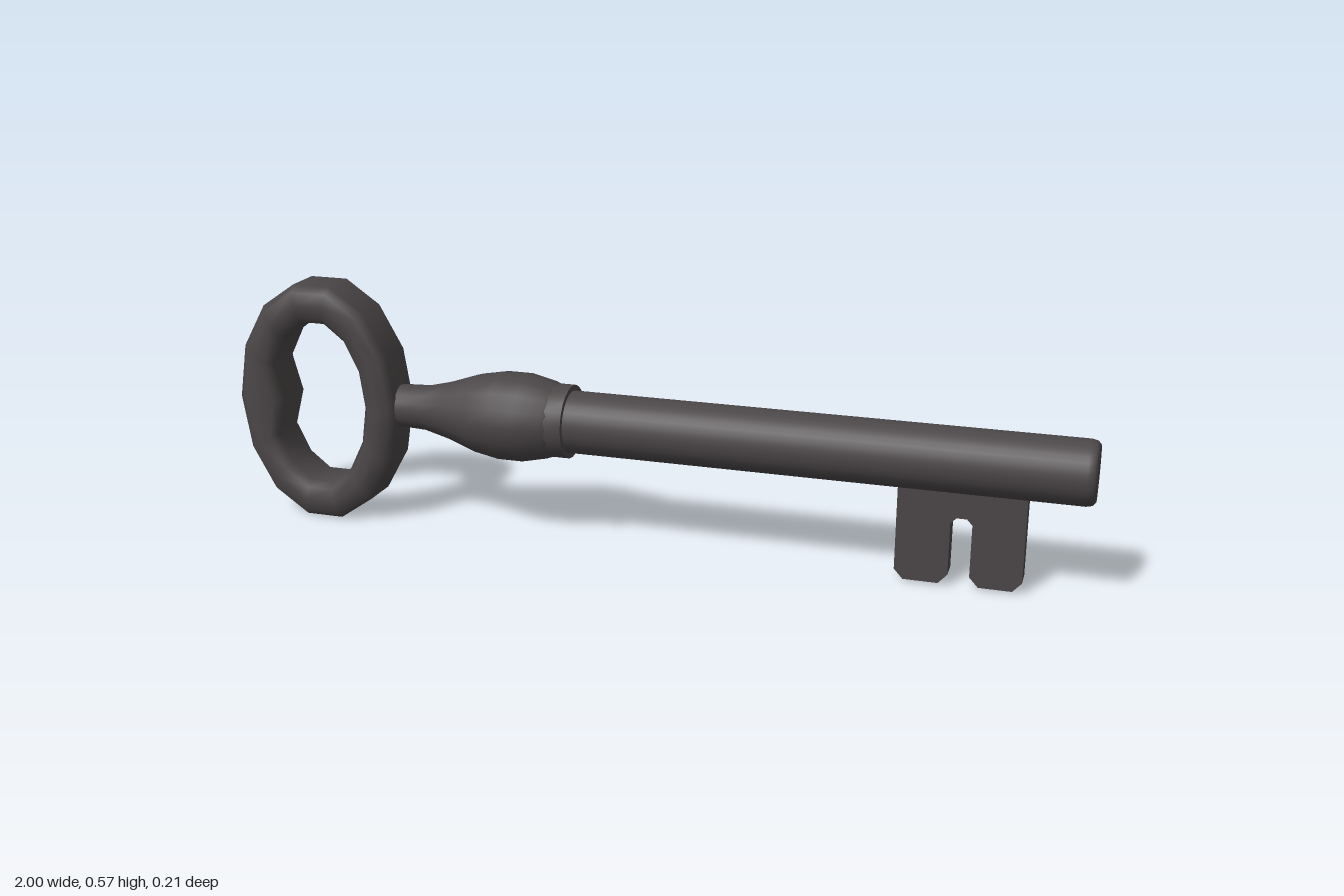
import * as THREE from 'three';
import { toCreasedNormals } from 'three/addons/utils/BufferGeometryUtils.js';

const AXIS_Y = 0.29;
const iron = new THREE.MeshStandardMaterial({ color: 0x4b4647 });

function addPart(group, name, geometry) {
  const mesh = new THREE.Mesh(geometry, iron);
  mesh.name = name;
  group.add(mesh);
  return mesh;
}

// Turned part lying along x; profile is a list of [x, radius]
function turned(profile, sides) {
  const points = profile.map(([x, r]) => new THREE.Vector2(r, x));
  return new THREE.LatheGeometry(points, sides).rotateZ(-Math.PI / 2);
}

// Oval ring with a bevelled section and a small bump inside, opposite the shaft
function bowGeometry() {
  const sides = 14;
  // [position from outer rim (0) to inner rim (1), z]
  const half = [[0, 0.045], [0.17, 0.064], [0.5, 0.069], [0.83, 0.064], [1, 0.045]];
  const section = [...half, ...half.map(([t, z]) => [t, -z]).reverse()];
  const n = section.length;
  const positions = [], index = [];
  for (let i = 0; i < sides; i++) {
    const a = (i / sides) * Math.PI * 2;
    const innerX = i === sides / 2 ? 0.088 : 0.124;
    for (const [t, z] of section) {
      positions.push(
        Math.cos(a) * THREE.MathUtils.lerp(0.205, innerX, t),
        Math.sin(a) * THREE.MathUtils.lerp(0.292, 0.2, t),
        z
      );
    }
    const next = (i + 1) % sides;
    for (let j = 0; j < n; j++) {
      const k = (j + 1) % n;
      const p = i * n + j, q = next * n + j, r = next * n + k, s = i * n + k;
      index.push(p, q, r, p, r, s);
    }
  }
  const geometry = new THREE.BufferGeometry();
  geometry.setAttribute('position', new THREE.Float32BufferAttribute(positions, 3));
  geometry.setIndex(index);
  geometry.computeVertexNormals();
  return geometry;
}

// Flat plate with two chamfered teeth and a slot between them
function bitGeometry() {
  const outline = [
    [0.585, 0.25], [0.585, 0.032], [0.605, 0.01], [0.682, 0.01], [0.702, 0.032],
    [0.702, 0.152], [0.714, 0.165], [0.737, 0.165], [0.749, 0.152],
    [0.749, 0.032], [0.769, 0.01], [0.842, 0.01], [0.862, 0.032], [0.862, 0.25]
  ];
  const shape = new THREE.Shape(outline.map(([x, y]) => new THREE.Vector2(x, y)));
  return new THREE.ExtrudeGeometry(shape, { depth: 0.048, bevelEnabled: false })
    .translate(0, 0, -0.024);
}

export function createModel() {
  const key = new THREE.Group();
  key.name = 'key';

  addPart(key, 'bow', bowGeometry()).position.set(-0.795, AXIS_Y, 0);

  // Swelling neck between bow and shaft
  const neck = turned([
    [-0.605, 0], [-0.605, 0.05], [-0.53, 0.053], [-0.47, 0.068], [-0.4, 0.092],
    [-0.34, 0.103], [-0.28, 0.103], [-0.22, 0.09], [-0.205, 0.084], [-0.205, 0.07]
  ], 16);
  addPart(key, 'neck', toCreasedNormals(neck, 0.7)).position.y = AXIS_Y;

  const collar = turned([
    [-0.215, 0.06], [-0.215, 0.085], [-0.17, 0.085], [-0.17, 0.06]
  ], 24);
  addPart(key, 'collar', toCreasedNormals(collar, 0.7)).position.y = AXIS_Y;

  // Straight shaft with a softly rounded tip
  addPart(key, 'shaft', turned([
    [-0.2, 0.072], [0.98, 0.072], [0.993, 0.069], [1, 0.061], [1, 0]
  ], 32)).position.y = AXIS_Y;

  addPart(key, 'bit', bitGeometry());
  return key;
}
